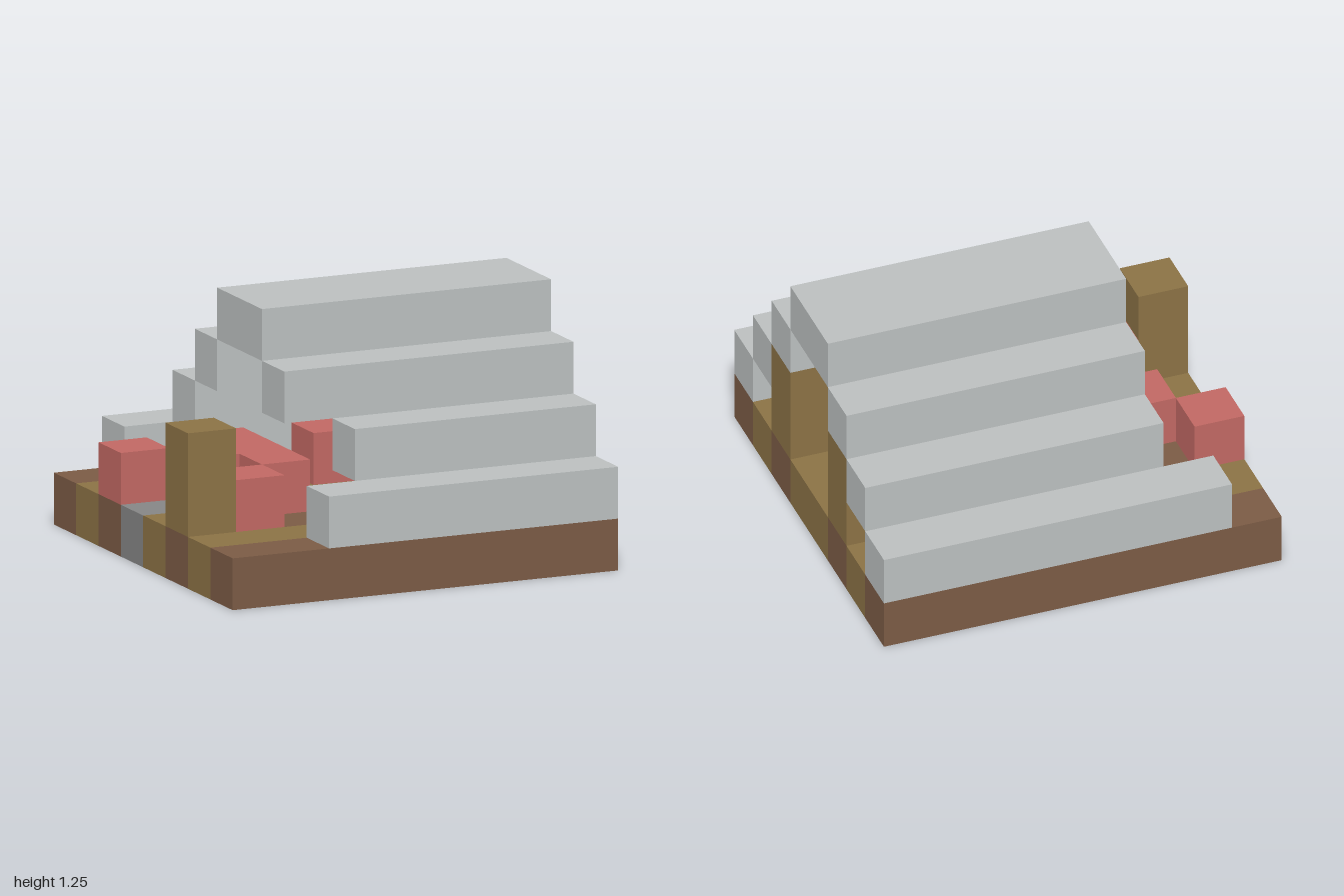
import * as THREE from 'three';

const U = 0.25; // one block

const material = (name, color) => {
  const m = new THREE.MeshStandardMaterial({ color });
  m.name = name;
  return m;
};

export function createModel() {
  const group = new THREE.Group();
  const brown = material('dark wood', 0x7b5b45);
  const ochre = material('plank wood', 0x8b7245);
  const red = material('red brick', 0xc16863);
  const grey = material('cobble', 0x858585);
  const pale = material('pale stone', 0xbbbfbf);

  // Box from block coordinates: column i, level k, row j, and its size in blocks
  const block = (name, mat, i, k, j, w = 1, h = 1, d = 1) => {
    const mesh = new THREE.Mesh(new THREE.BoxGeometry(w * U, h * U, d * U), mat);
    mesh.position.set((i + w / 2 - 4) * U, (k + h / 2) * U, (j + d / 2 - 4) * U);
    mesh.name = name;
    group.add(mesh);
  };

  // Floor: each row is split into runs of one colour, from back to front
  const floor = [
    'BBBBBBBB',
    'OOOOOOOO',
    'BBBOBOBB',
    'GBBOOOOO',
    'OBBOOOOO',
    'BBBBOBOB',
    'OOOOOOOO',
    'BBBBBBBB',
  ];
  const floorMaterial = { B: brown, O: ochre, G: grey };
  floor.forEach((row, j) => {
    for (const run of row.matchAll(/B+|O+|G+/g)) {
      block('floor', floorMaterial[run[0][0]], run.index, 0, j, run[0].length);
    }
  });

  // Corner posts
  for (const [i, j] of [[0, 5], [7, 2], [7, 5]]) block('post', ochre, i, 1, j, 1, 2);

  // Broken brick walls
  for (const [i, j] of [[0, 2], [2, 2], [4, 2], [6, 2], [1, 3], [2, 3], [2, 4], [1, 5], [5, 5]]) {
    block('brick', red, i, 1, j);
  }

  // Stepped roof: start column, level, row, depth
  for (const [i, k, j, d] of [
    [1, 1, 0, 1], [2, 2, 1, 1], [2, 3, 2, 1], [2, 4, 3, 2],
    [2, 3, 5, 1], [3, 2, 6, 1], [2, 1, 7, 1],
  ]) block('roofStep', pale, i, k, j, 8 - i, 1, d);

  return group;
}
